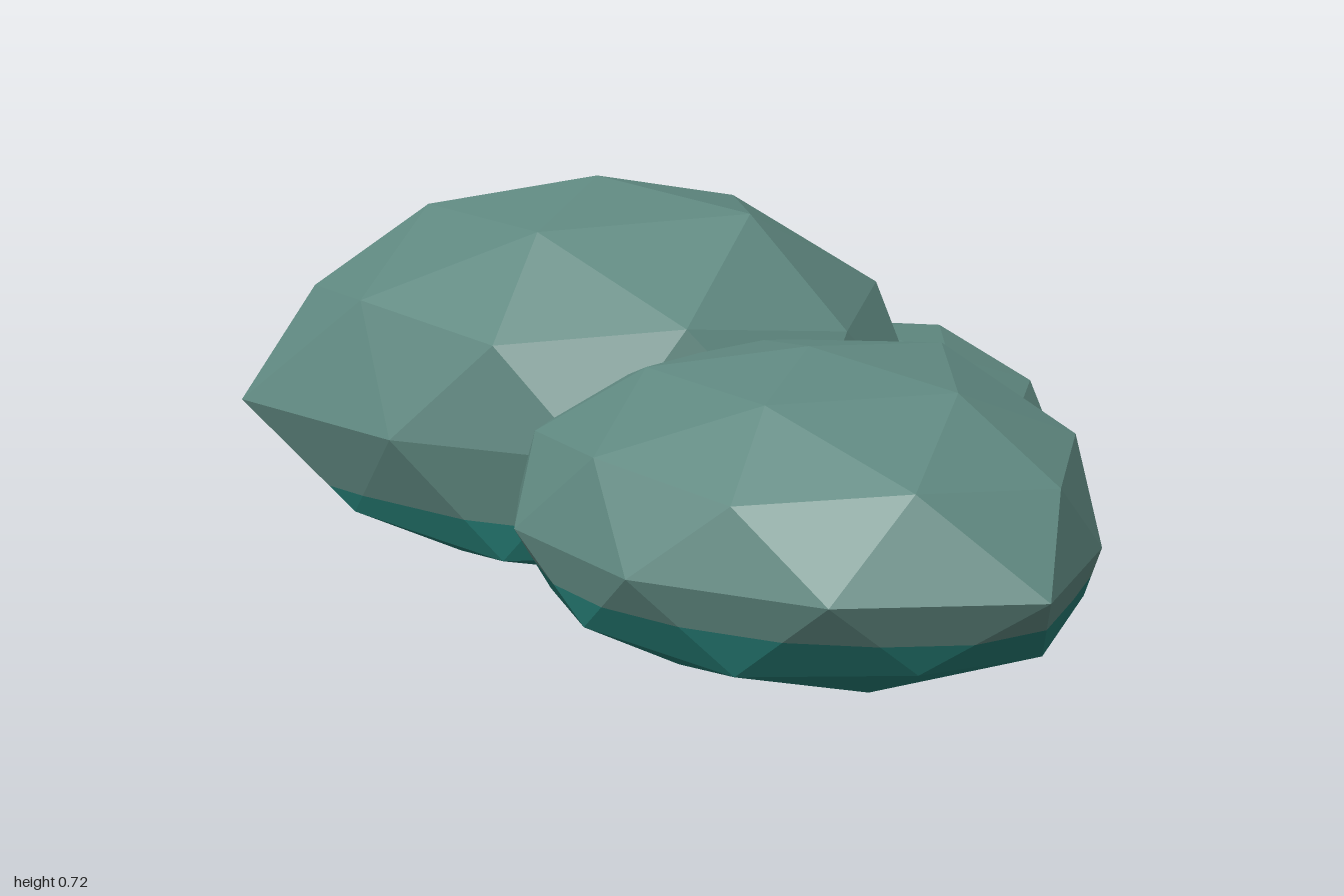
import * as THREE from 'three';

const stone = new THREE.MeshStandardMaterial({ color: 0x5f8880 });
stone.name = 'grey green stone';
const algae = new THREE.MeshStandardMaterial({ color: 0x257a72 });
algae.name = 'teal waterline';

// equator: radius factors of the ten widest corners, from 18 degrees in steps of 36
// bumps: [angle, height, factor] for single corners above the equator
const ROCKS = [
  { name: 'largeRock', center: [-0.32, 0.3, 0], radii: [0.68, 0.42, 0.58], line: 0.155,
    equator: [1, 0.97, 0.99, 1.14, 1.05, 1, 1.1, 1.01, 1, 1.03],
    bumps: [[0, 0.851, 1.07]] },
  { name: 'frontRock', center: [0.41, 0.23, 0.28], radii: [0.56, 0.295, 0.48], line: 0.155,
    equator: [1.1, 1.02, 1, 1, 1.01, 1.01, 1, 1, 0.97, 0.94],
    bumps: [[288, 0.851, 1.08], [0, 0.851, 1.03]] },
  { name: 'backRock', center: [0.03, 0.18, -0.38], radii: [0.44, 0.225, 0.385], line: 0.13,
    equator: [1.01, 1, 1, 1, 1, 1, 1.05, 1, 0.9, 1],
    bumps: [[288, 0.851, 1.05]] },
];

// Radius factor for a corner of the unit sphere
function factor(v, rock) {
  const angle = (THREE.MathUtils.radToDeg(Math.atan2(v.z, v.x)) + 360) % 360;
  if (Math.abs(v.y) < 0.01) return rock.equator[Math.round((angle - 18) / 36) % 10];
  for (const [a, h, f] of rock.bumps) {
    const gap = Math.abs(((angle - a + 540) % 360) - 180);
    if (gap < 5 && Math.abs(v.y - h) < 0.02) return f;
  }
  return 1;
}

// Keep the part of a polygon above (side 1) or below (side -1) a height
function clip(polygon, height, side) {
  const out = [];
  polygon.forEach((a, i) => {
    const b = polygon[(i + 1) % polygon.length];
    const da = (a.y - height) * side, db = (b.y - height) * side;
    if (da >= 0) out.push(a);
    if (da * db < 0) out.push(a.clone().lerp(b, da / (da - db)));
  });
  return out;
}

// Flat-faced mesh from convex polygons
function facetMesh(polygons, material, name) {
  const points = [];
  for (const p of polygons) {
    for (let i = 1; i + 1 < p.length; i++) points.push(p[0], p[i], p[i + 1]);
  }
  const geometry = new THREE.BufferGeometry().setFromPoints(points);
  geometry.computeVertexNormals();
  const mesh = new THREE.Mesh(geometry, material);
  mesh.name = name;
  return mesh;
}

// Faceted boulder with a level base, split in colour at its waterline
function makeRock(rock) {
  const sphere = new THREE.IcosahedronGeometry(1, 1);
  // Stand the sphere on one of its corners
  sphere.rotateZ(Math.PI / 2 - Math.atan2((1 + Math.sqrt(5)) / 2, -1));
  const pos = sphere.attributes.position;
  const center = new THREE.Vector3(...rock.center);
  const radii = new THREE.Vector3(...rock.radii);
  const corner = (i) => {
    const v = new THREE.Vector3().fromBufferAttribute(pos, i);
    v.multiplyScalar(factor(v, rock)).multiply(radii).add(center);
    v.y = Math.max(0, v.y);
    return v;
  };
  const upper = [], lower = [];
  for (let i = 0; i < pos.count; i += 3) {
    const triangle = [corner(i), corner(i + 1), corner(i + 2)];
    upper.push(clip(triangle, rock.line, 1));
    lower.push(clip(triangle, rock.line, -1));
  }
  const group = new THREE.Group();
  group.name = rock.name;
  group.add(facetMesh(upper, stone, 'dryStone'), facetMesh(lower, algae, 'wetBase'));
  return group;
}

export function createModel() {
  const model = new THREE.Group();
  model.name = 'rockCluster';
  for (const rock of ROCKS) model.add(makeRock(rock));
  return model;
}
